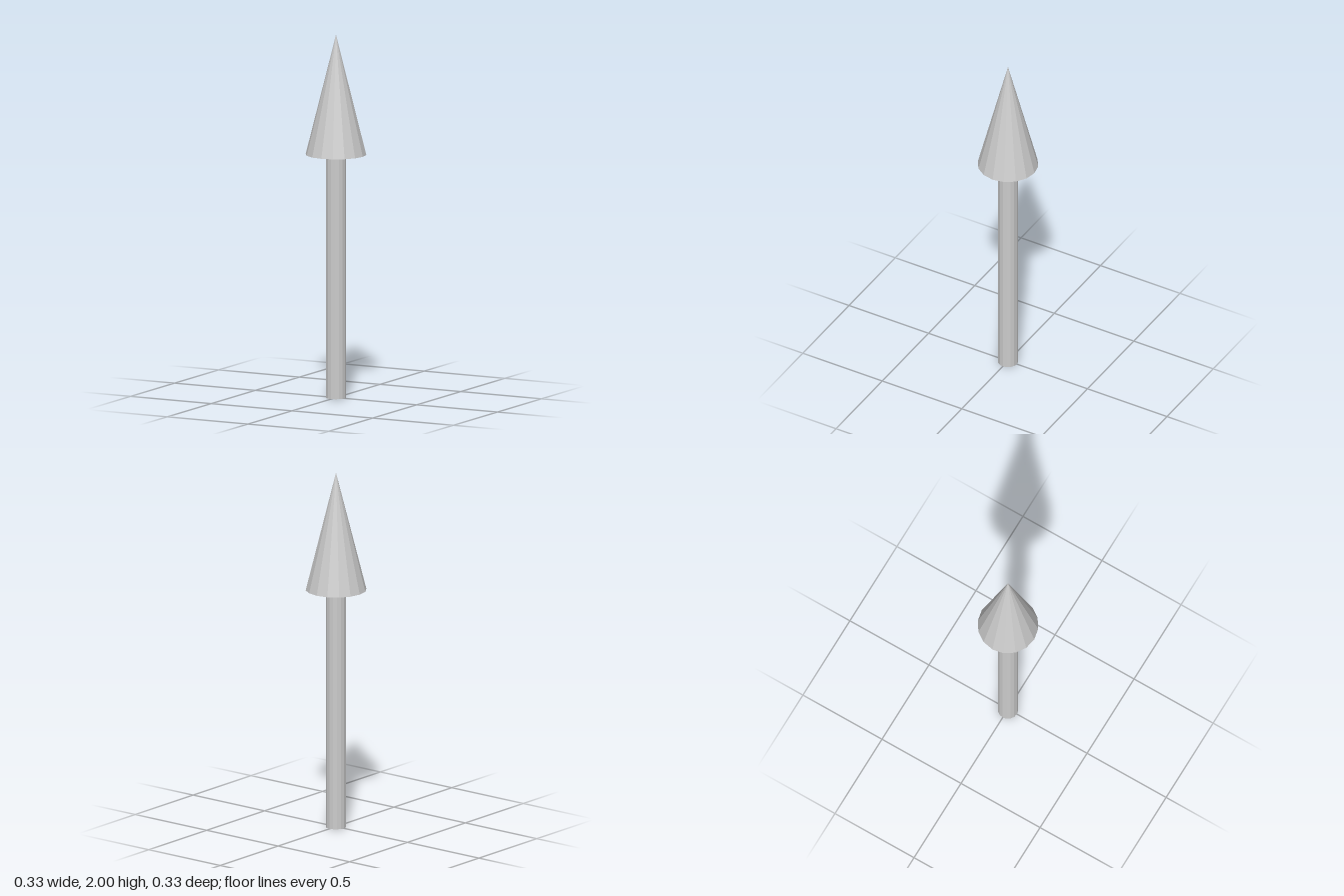
import * as THREE from 'three';

const SIDES = 16;
const HEIGHT = 2;
const HEAD_BASE = 1.34;

export function createModel() {
  const model = new THREE.Group();
  model.name = 'arrow';
  const material = new THREE.MeshStandardMaterial({ color: 0xcccccc, flatShading: true });

  const add = (name, geometry, y) => {
    const mesh = new THREE.Mesh(geometry, material);
    mesh.name = name;
    mesh.position.y = y;
    model.add(mesh);
  };

  // Straight shaft standing on the ground
  add('shaft', new THREE.CylinderGeometry(0.056, 0.056, HEAD_BASE, SIDES), HEAD_BASE / 2);

  // Pointed head with a closed base
  add('head', new THREE.ConeGeometry(0.166, HEIGHT - HEAD_BASE, SIDES), (HEIGHT + HEAD_BASE) / 2);

  return model;
}
